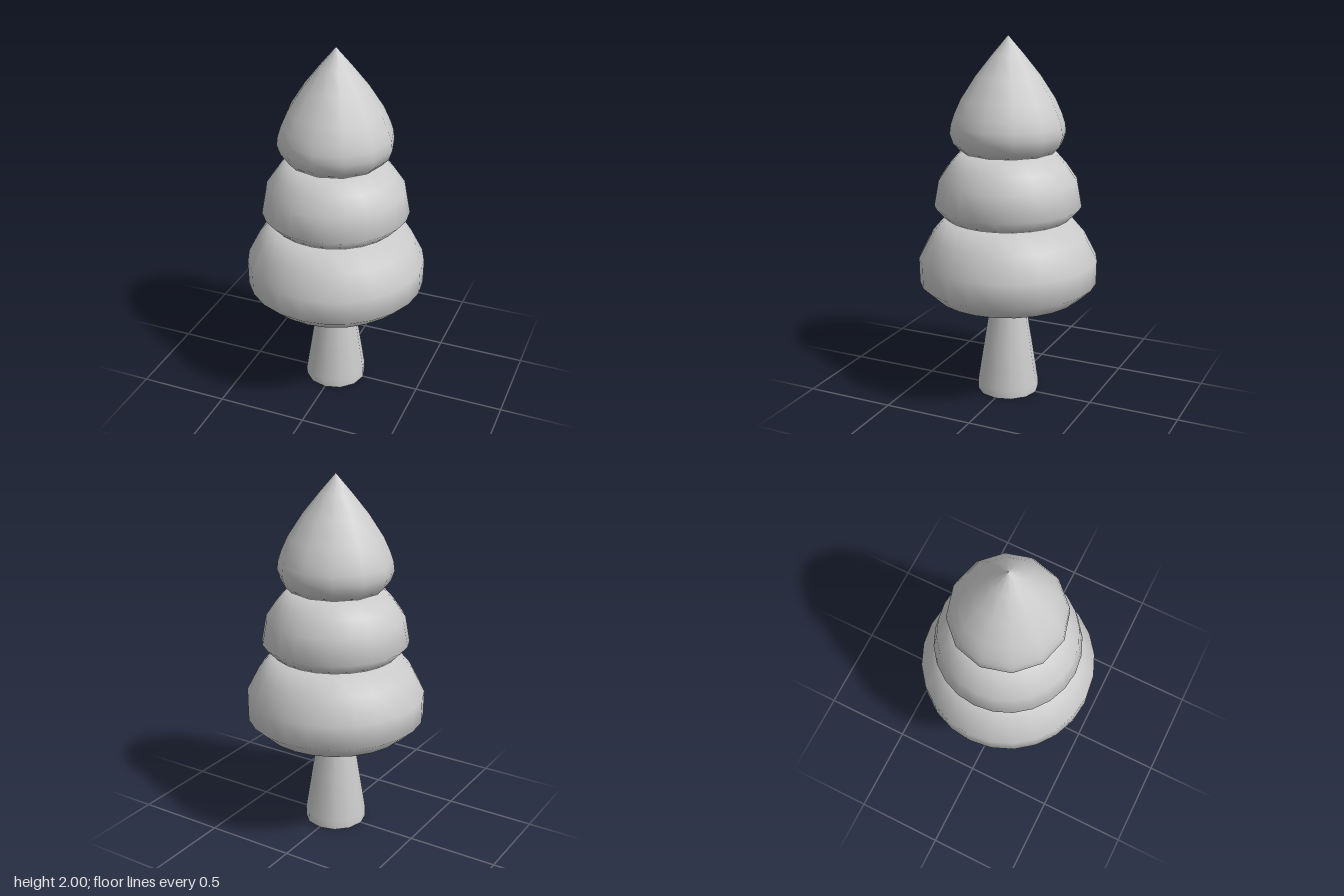
import * as THREE from 'three';

const material = new THREE.MeshStandardMaterial({ color: 0xcccccc, side: THREE.DoubleSide });

// Smooth solid of revolution from [radius, height] pairs, bottom to top
function turned(name, profile, sides) {
  const points = profile.map(([r, y]) => new THREE.Vector2(r, y));
  const mesh = new THREE.Mesh(new THREE.LatheGeometry(points, sides), material);
  mesh.name = name;
  return mesh;
}

export function createModel() {
  const tree = new THREE.Group();
  tree.name = 'tree';

  // Tapered trunk, open at the foot
  tree.add(turned('trunk', [[0.172, 0], [0.172, 0.05], [0.133, 0.3], [0.092, 0.56], [0.08, 0.64]], 12));

  // Broad lowest tier with a flattened underside
  tree.add(turned('lowerFoliage', [
    [0, 0.555], [0.296, 0.555], [0.405, 0.577], [0.49, 0.655],
    [0.492, 0.79], [0.425, 0.92], [0.34, 1.02], [0, 1.04],
  ], 24));

  // Middle tier
  tree.add(turned('middleFoliage', [
    [0, 1.02], [0.34, 1.02], [0.403, 1.087], [0.378, 1.225],
    [0.32, 1.31], [0.254, 1.385], [0, 1.41],
  ], 24));

  // Pointed crown
  tree.add(turned('crownFoliage', [
    [0, 1.385], [0.255, 1.385], [0.295, 1.425], [0.314, 1.48], [0.308, 1.53],
    [0.29, 1.585], [0.254, 1.665], [0.175, 1.787], [0.085, 1.9], [0, 2],
  ], 12));

  return tree;
}
